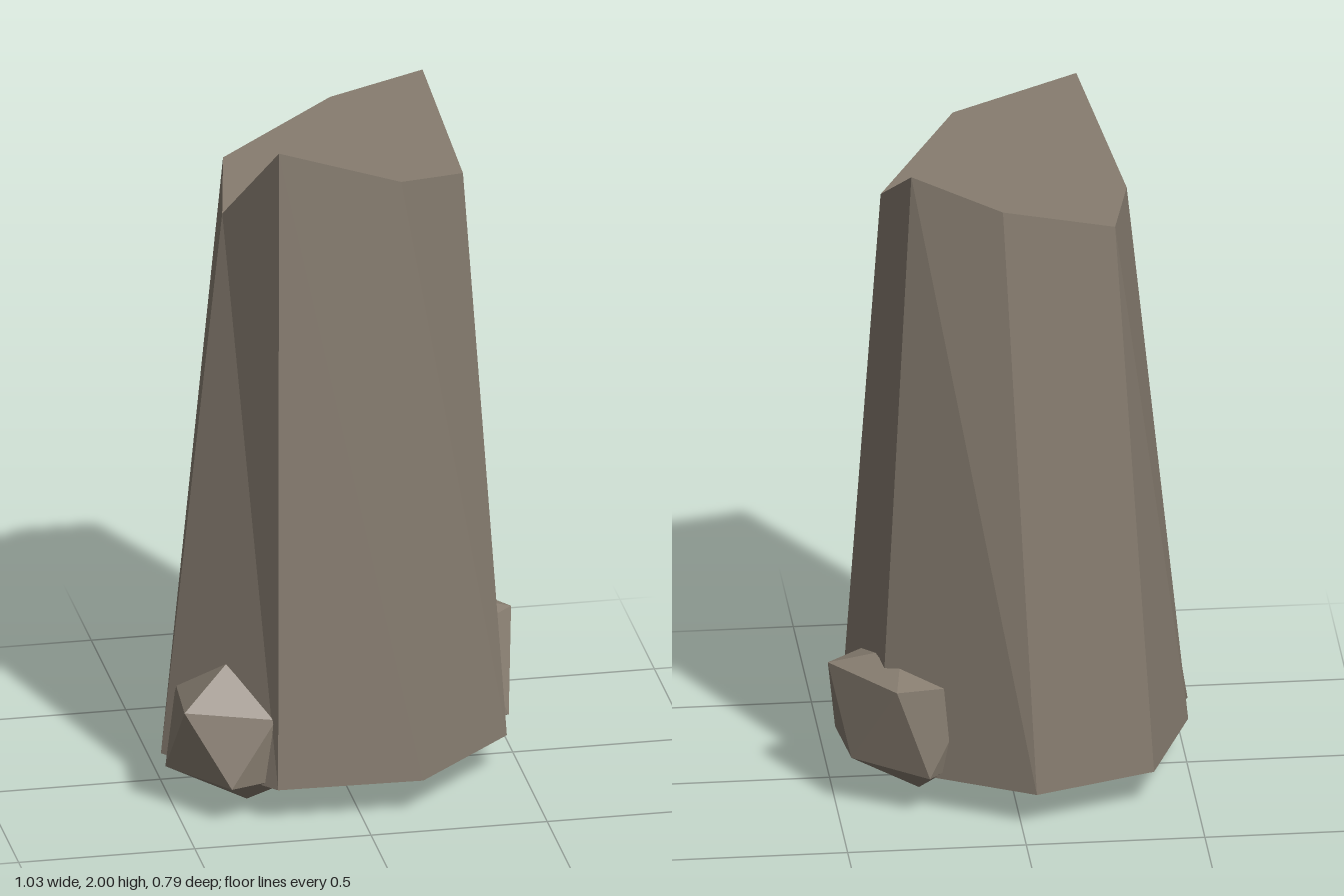
import * as THREE from 'three';
import { ConvexGeometry } from 'three/addons/geometries/ConvexGeometry.js';

// Flat-shaded surface from corner triples
function facets(triangles) {
  const g = new THREE.BufferGeometry();
  g.setAttribute('position', new THREE.Float32BufferAttribute(triangles.flat(2), 3));
  g.computeVertexNormals();
  return g;
}

export function createModel() {
  const group = new THREE.Group();
  const stone = new THREE.MeshStandardMaterial({ color: 0x877d70 });
  stone.name = 'stone';

  const add = (name, geometry) => {
    const mesh = new THREE.Mesh(geometry, stone);
    mesh.name = name;
    group.add(mesh);
  };

  // Seven-sided pillar: rings run back, left, front, right
  const foot = [[-0.04, -0.4], [-0.38, -0.28], [-0.51, 0.06], [-0.24, 0.38],
    [0.17, 0.39], [0.46, 0.12], [0.38, -0.18]].map(([x, z]) => [x, 0.11, z]);
  const rim = [[0.05, 1.88, -0.35], [-0.275, 1.77, -0.24], [-0.34, 1.74, 0.08], [-0.22, 2, 0.29],
    [0.125, 1.89, 0.3], [0.355, 1.78, 0.02], [0.3, 1.97, -0.285]];

  // Tapered sides
  const sides = [];
  for (let i = 0; i < 7; i++) {
    const j = (i + 1) % 7;
    sides.push([foot[i], foot[j], rim[i]], [foot[j], rim[j], rim[i]]);
  }
  add('pillarSides', facets(sides));

  // Broken top, shaded as one face
  const top = facets([[0, 1, 2], [2, 3, 4], [0, 2, 4], [0, 4, 5], [0, 5, 6]]
    .map((t) => t.map((i) => rim[i])));
  const n = top.attributes.normal;
  for (let i = 0; i < n.count; i++) n.setXYZ(i, 0, 1, 0);
  add('brokenTop', top);

  // Underside
  const under = [];
  for (let i = 1; i < 6; i++) under.push([foot[0], foot[i + 1], foot[i]]);
  add('underside', facets(under));

  // Faceted boulders at the foot: top, upper ring, lower ring, bottom
  const boulder = (name, points) =>
    add(name, new ConvexGeometry(points.map((p) => new THREE.Vector3(...p))));

  boulder('rightBoulder', [
    [-0.355, 0.43, 0.21],
    [-0.49, 0.33, 0.3], [-0.24, 0.31, 0.35], [-0.1, 0.31, 0.18], [-0.24, 0.31, 0.02], [-0.47, 0.32, 0.07],
    [-0.37, 0.12, 0.375], [-0.52, 0.12, 0.175], [-0.34, 0.12, 0.04], [-0.11, 0.12, 0.1], [-0.13, 0.12, 0.3],
    [-0.29, 0.005, 0.18],
  ]);
  boulder('leftBoulder', [
    [0.31, 0.45, -0.12],
    [0.345, 0.41, -0.335], [0.515, 0.405, -0.1], [0.37, 0.4, 0.03], [0.13, 0.38, 0], [0.11, 0.38, -0.24],
    [0.48, 0.14, 0.045], [0.46, 0.16, -0.21], [0.25, 0.13, -0.31], [0.05, 0.13, -0.1], [0.25, 0.12, 0.07],
    [0.26, 0.01, -0.1],
  ]);

  return group;
}
